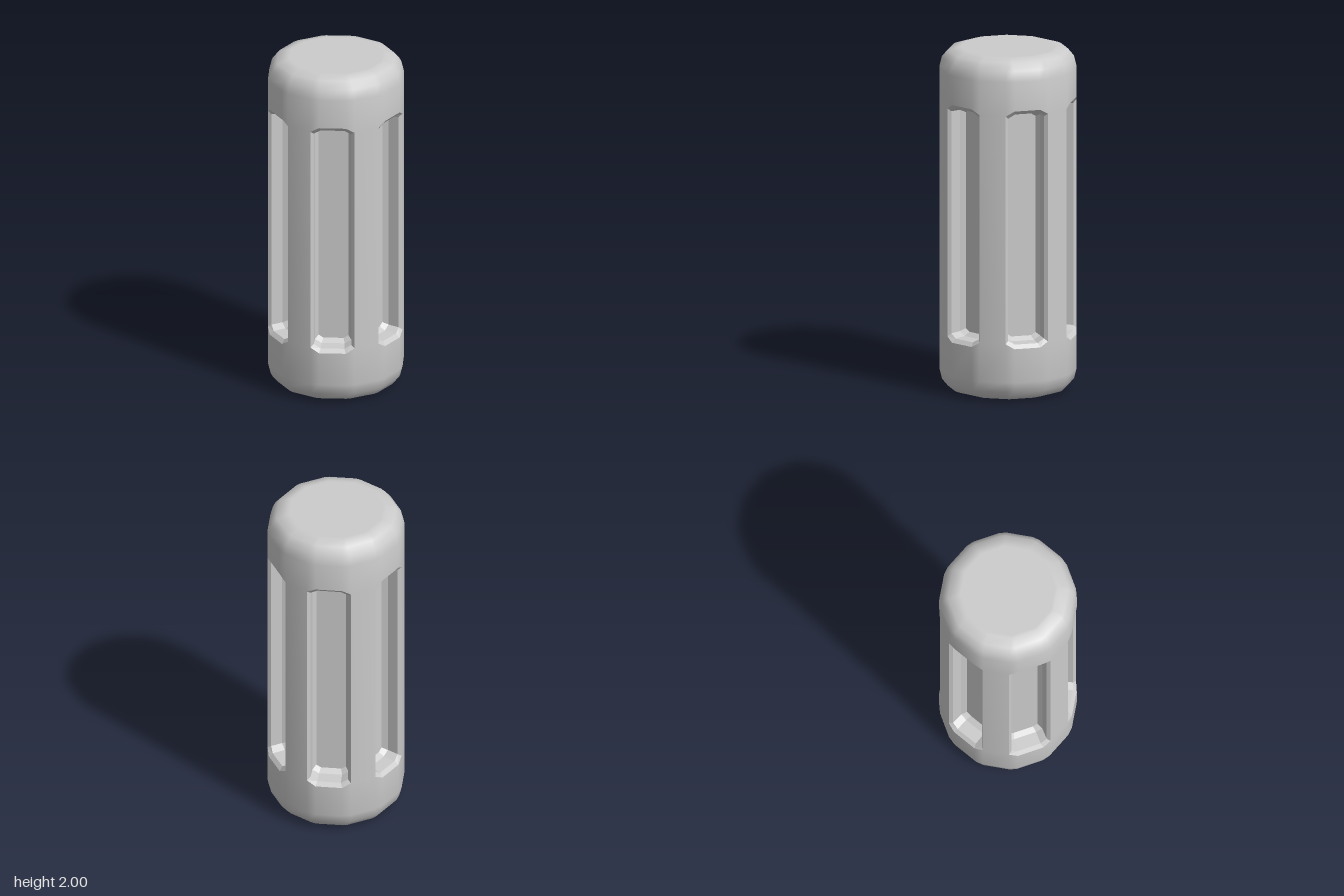
import * as THREE from 'three';
import { toCreasedNormals } from 'three/addons/utils/BufferGeometryUtils.js';

const RAD = Math.PI / 180;
const R = 0.392;      // corner radius of the twelve-sided body
const BEVEL = 3.7;    // half angle of each bevelled vertical corner
const SLOT = { top: 1.709, topCorner: 1.68, bottom: 0.317, bottomCorner: 0.346 };

function geometryFrom(triangles) {
  return new THREE.BufferGeometry().setFromPoints(triangles);
}

function addQuad(out, a, b, c, d) {
  out.push(a, b, c, a, c, d);
}

// Point on the bevelled outline; angle runs from +z towards +x
function outlinePoint(j, radius, bevel, y) {
  const angle = ((Math.floor(j / 2) - 1) * 30 + (j % 2 ? bevel : -bevel)) * RAD;
  return new THREE.Vector3(radius * Math.sin(angle), y, radius * Math.cos(angle));
}

// Rounded body with six openings left for the slots
function bodyGeometry() {
  // radius, distance from the end, bevel half angle
  const shoulder = [
    [0.27, 0, 1], [0.287, 0, 1], [0.343, 0.018, 2.4], [0.377, 0.06, 3.3], [R, 0.12, BEVEL],
  ];
  const isCorner = (j) => j % 4 === 0 || j % 4 === 3;
  const rows = [
    ...shoulder.map(([r, d, b]) => (j) => outlinePoint(j, r, b, d)),
    (j) => outlinePoint(j, R, BEVEL, isCorner(j) ? SLOT.bottomCorner : SLOT.bottom),
    (j) => outlinePoint(j, R, BEVEL, isCorner(j) ? SLOT.topCorner : SLOT.top),
    ...shoulder.map(([r, d, b]) => (j) => outlinePoint(j, r, b, 2 - d)).reverse(),
  ];
  const slotRow = shoulder.length;
  const tris = [];
  for (let j = 0; j < 24; j++) {
    const k = (j + 1) % 24;
    for (let i = 0; i < rows.length - 1; i++) {
      if (i === slotRow && j % 4 !== 3) continue;
      addQuad(tris, rows[i](j), rows[i](k), rows[i + 1](k), rows[i + 1](j));
    }
    // End faces
    const last = rows[rows.length - 1];
    tris.push(new THREE.Vector3(0, 2, 0), last(j), last(k));
    tris.push(new THREE.Vector3(0, 0, 0), rows[0](k), rows[0](j));
  }
  return toCreasedNormals(geometryFrom(tris), 35 * RAD);
}

// Eight-sided recess: a chamfered rim, walls, a bevel and a flat floor
function slotGeometry() {
  const outer = (15 + BEVEL) * RAD;
  const inner = (15 - BEVEL) * RAD;
  // half width, half width of the ends, inset in y, depth at the sides, depth at the ends
  const levels = [
    [R * Math.sin(outer), R * Math.sin(inner), 0, R * Math.cos(outer), R * Math.cos(inner)],
    [0.107, 0.068, 0.022, 0.357, 0.364],
    [0.104, 0.066, 0.025, 0.29, 0.29],
    [0.085, 0.058, 0.046, 0.26, 0.26],
  ];
  const loops = levels.map(([w, e, inset, side, end]) => {
    const cornerInset = inset * 0.75;
    const top = SLOT.top - inset, bottom = SLOT.bottom + inset;
    const topC = SLOT.topCorner - cornerInset, bottomC = SLOT.bottomCorner + cornerInset;
    return [
      [w, bottomC, side], [w, topC, side], [e, top, end], [-e, top, end],
      [-w, topC, side], [-w, bottomC, side], [-e, bottom, end], [e, bottom, end],
    ].map((p) => new THREE.Vector3(...p));
  });
  const tris = [];
  for (let l = 0; l < loops.length - 1; l++) {
    for (let i = 0; i < 8; i++) {
      const k = (i + 1) % 8;
      addQuad(tris, loops[l][i], loops[l][k], loops[l + 1][k], loops[l + 1][i]);
    }
  }
  const floor = loops[loops.length - 1];
  for (let i = 1; i < 7; i++) tris.push(floor[0], floor[i], floor[i + 1]);
  const geometry = geometryFrom(tris);
  geometry.computeVertexNormals();
  return geometry;
}

export function createModel() {
  const model = new THREE.Group();
  model.name = 'slottedCylinder';
  const smooth = new THREE.MeshStandardMaterial({ color: 0xcccccc });
  const faceted = new THREE.MeshStandardMaterial({ color: 0xcccccc, flatShading: true });

  const body = new THREE.Mesh(bodyGeometry(), smooth);
  body.name = 'body';
  model.add(body);

  // Six slots, one in every second side
  const slot = slotGeometry();
  for (let i = 0; i < 6; i++) {
    const mesh = new THREE.Mesh(slot, faceted);
    mesh.name = `slot${i + 1}`;
    mesh.rotation.y = (-15 + 60 * i) * RAD;
    model.add(mesh);
  }
  return model;
}
